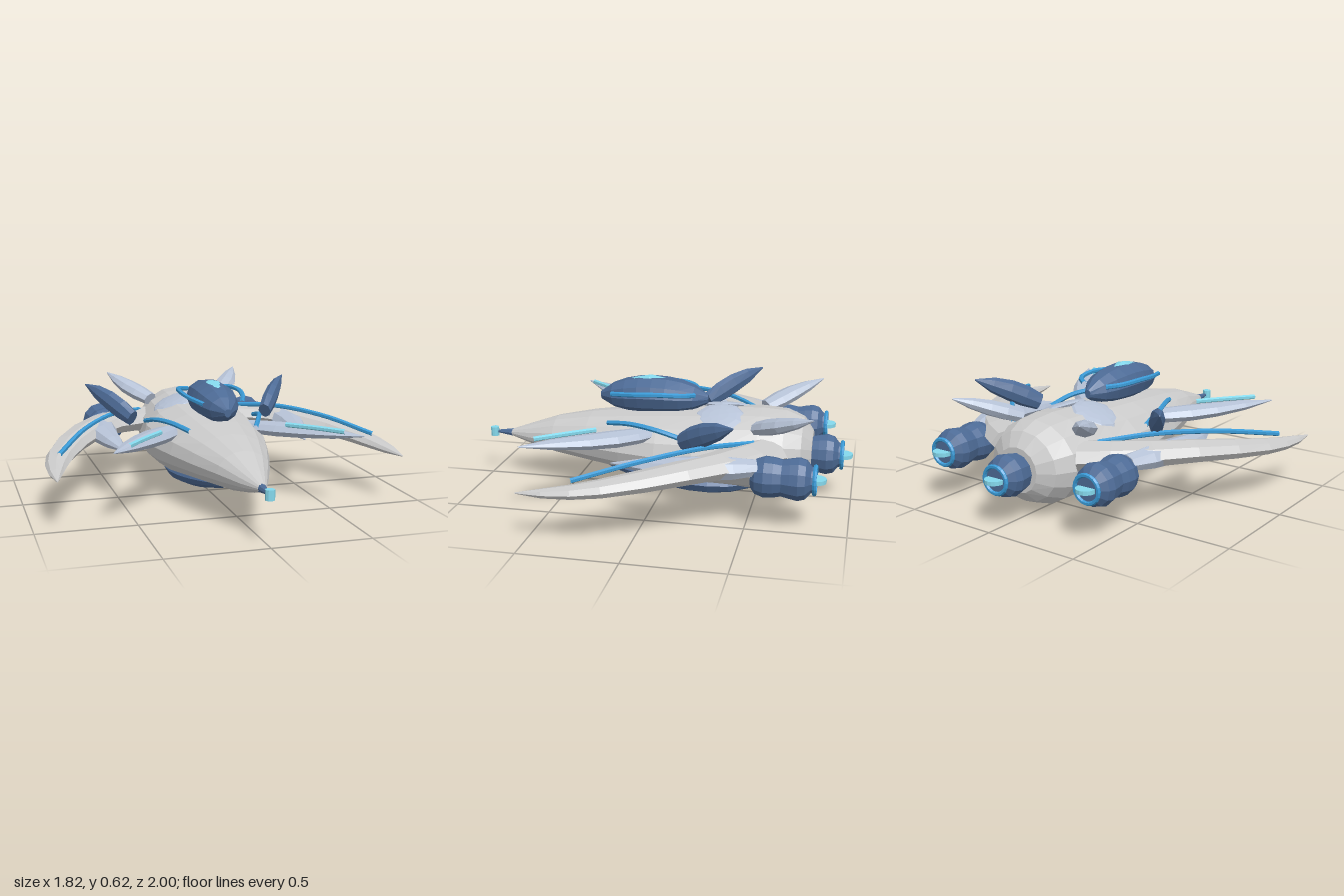
import * as THREE from 'three';

const V = (x, y, z) => new THREE.Vector3(x, y, z);
const mat = (color) => new THREE.MeshStandardMaterial({ color, flatShading: true });
const WHITE = mat(0xf0f0f0), PALE = mat(0xb6c2d6), DARK = mat(0x4d6b96);
const BLUE = mat(0x3a9ad6), CYAN = mat(0x84d8ec);

// Skin a list of rings (each counter-clockwise about the travel direction) and cap both ends.
function skin(rings) {
  const n = rings[0].length, pos = [];
  const tri = (...p) => p.forEach((v) => pos.push(v.x, v.y, v.z));
  for (let i = 0; i < rings.length - 1; i++) {
    for (let j = 0; j < n; j++) {
      const k = (j + 1) % n, a = rings[i], b = rings[i + 1];
      tri(a[j], a[k], b[j]);
      tri(a[k], b[k], b[j]);
    }
  }
  const mid = (r) => r.reduce((s, v) => s.add(v), V(0, 0, 0)).divideScalar(n);
  const first = rings[0], last = rings[rings.length - 1], c0 = mid(first), c1 = mid(last);
  for (let j = 0; j < n; j++) {
    const k = (j + 1) % n;
    tri(c0, first[k], first[j]);
    tri(c1, last[j], last[k]);
  }
  const g = new THREE.BufferGeometry();
  g.setAttribute('position', new THREE.Float32BufferAttribute(pos, 3));
  g.computeVertexNormals();
  return g;
}

// Blade swept along a curve; profile lists [half width, half thickness] at even steps.
function blade(points, profile, sides = 8) {
  const curve = new THREE.CatmullRomCurve3(points), up = V(0, 1, 0);
  return skin(profile.map(([w, h], i) => {
    const t = i / (profile.length - 1), c = curve.getPoint(t), dir = curve.getTangent(t);
    const e1 = up.clone().cross(dir).normalize(), e2 = dir.clone().cross(e1);
    return Array.from({ length: sides }, (_, j) => {
      const a = (j / sides) * Math.PI * 2;
      return c.clone().addScaledVector(e1, w * Math.cos(a)).addScaledVector(e2, h * Math.sin(a));
    });
  }));
}

const pipe = (points, r = 0.013) =>
  new THREE.TubeGeometry(new THREE.CatmullRomCurve3(points), 16, r, 6);

export function createModel() {
  const root = new THREE.Group();
  const add = (name, geometry, material, parent = root) => {
    const m = new THREE.Mesh(geometry, material);
    m.name = name;
    parent.add(m);
    return m;
  };

  // Hull: z, half width, top, bottom, height of the widest line
  const stations = [
    [-0.79, 0.12, 0.36, 0.13, 0.25], [-0.74, 0.2, 0.43, 0.075, 0.25], [-0.65, 0.25, 0.465, 0.037, 0.25],
    [-0.52, 0.275, 0.472, 0.042, 0.255], [-0.36, 0.29, 0.465, 0.052, 0.26], [-0.2, 0.318, 0.455, 0.06, 0.26],
    [0, 0.305, 0.44, 0.075, 0.26], [0.2, 0.265, 0.42, 0.105, 0.26], [0.4, 0.205, 0.395, 0.13, 0.255],
    [0.6, 0.135, 0.355, 0.155, 0.25], [0.76, 0.07, 0.3, 0.19, 0.24], [0.87, 0.022, 0.26, 0.222, 0.24],
  ];
  add('hull', skin(stations.map(([z, w, top, bottom, y]) =>
    Array.from({ length: 16 }, (_, j) => {
      const a = (j / 16) * Math.PI * 2, s = Math.sin(a);
      return V(w * Math.cos(a), y + s * (s > 0 ? top - y : y - bottom), z);
    }))), WHITE);

  // Nose spike and sensor
  const spike = add('noseSpike', new THREE.CylinderGeometry(0.007, 0.024, 0.11, 8), DARK);
  spike.rotation.x = Math.PI / 2;
  spike.position.set(0, 0.24, 0.91);
  add('noseSensor', new THREE.CylinderGeometry(0.023, 0.023, 0.05, 10), CYAN).position.set(0, 0.24, 0.975);

  // Belly keel
  add('belly', blade([V(0, 0.075, -0.58), V(0, 0.08, -0.15), V(0, 0.125, 0.37)],
    [[0.01, 0.01], [0.1, 0.045], [0.16, 0.07], [0.18, 0.08], [0.182, 0.08], [0.168, 0.073],
      [0.14, 0.06], [0.09, 0.04], [0.01, 0.01]], 12), DARK);

  // Cockpit and its window crest
  add('cockpit', blade([V(0, 0.5, -0.232), V(0, 0.513, 0.06), V(0, 0.49, 0.35)],
    [[0.018, 0.024], [0.072, 0.066], [0.1, 0.086], [0.113, 0.094], [0.116, 0.097], [0.114, 0.095],
      [0.102, 0.086], [0.076, 0.066], [0.018, 0.022]], 10), DARK);
  add('cockpitWindow', blade([V(0, 0.575, -0.08), V(0, 0.588, 0.08), V(0, 0.565, 0.24)],
    [[0.004, 0.004], [0.034, 0.019], [0.048, 0.028], [0.036, 0.021], [0.004, 0.004]], 8), CYAN);

  // Engine pod, pointing to the rear, with a ring and a flat glow disc
  const podProfile = [[0, 0], [0.06, 0], [0.088, 0.022], [0.103, 0.065], [0.1, 0.11], [0.091, 0.15],
    [0.1, 0.19], [0.107, 0.23], [0.097, 0.265], [0.066, 0.29], [0.06, 0.305], [0, 0.305]];
  const podShape = new THREE.LatheGeometry(podProfile.map((p) => new THREE.Vector2(...p)), 12);
  podShape.rotateX(-Math.PI / 2);
  const engine = (name, x, y, z) => {
    const g = new THREE.Group();
    g.name = name;
    g.position.set(x, y, z);
    add('pod', podShape, DARK, g);
    add('nozzleRing', new THREE.TorusGeometry(0.067, 0.011, 6, 20), BLUE, g).position.z = -0.308;
    add('glowDisc', new THREE.CylinderGeometry(0.048, 0.048, 0.02, 16), CYAN, g).position.z = -0.315;
    root.add(g);
  };
  engine('centreEngine', 0, 0.24, -0.635);

  for (const [side, s] of [['left', 1], ['right', -1]]) {
    const P = (x, y, z) => V(s * x, y, z);
    const name = (part) => side + part;
    engine(name('Engine'), s * 0.45, 0.26, -0.525);

    // Crescent wing and its light strip
    add(name('Wing'), blade(
      [P(0.2, 0.3, -0.56), P(0.43, 0.315, -0.43), P(0.65, 0.31, -0.18), P(0.805, 0.28, 0.11), P(0.864, 0.26, 0.32), P(0.885, 0.25, 0.53)],
      [[0.14, 0.07], [0.13, 0.066], [0.112, 0.06], [0.097, 0.053], [0.086, 0.047], [0.073, 0.04],
        [0.057, 0.032], [0.035, 0.022], [0.003, 0.003]], 8), WHITE);
    add(name('WingStrip'), pipe([P(0.27, 0.365, -0.51), P(0.47, 0.39, -0.29), P(0.67, 0.37, -0.02), P(0.84, 0.315, 0.27)]), BLUE);

    // Forward fin and its edge light
    add(name('ForwardFin'), blade([P(0.18, 0.35, 0.02), P(0.38, 0.36, 0.25), P(0.63, 0.385, 0.6)],
      [[0.045, 0.03], [0.07, 0.038], [0.079, 0.04], [0.073, 0.036], [0.05, 0.026], [0.003, 0.003]]), PALE);
    add(name('ForwardFinLight'), pipe([P(0.335, 0.4, 0.29), P(0.445, 0.403, 0.42), P(0.55, 0.403, 0.55)]), CYAN);

    // Blade running forward from the side engine
    add(name('PodBlade'), blade([P(0.47, 0.31, -0.55), P(0.54, 0.31, -0.25), P(0.49, 0.285, 0.17)],
      [[0.055, 0.04], [0.08, 0.055], [0.087, 0.058], [0.077, 0.05], [0.05, 0.036], [0.003, 0.003]]), PALE);

    // Upright dark fin
    add(name('UpperFin'), blade([P(0.38, 0.385, -0.17), P(0.475, 0.463, -0.3), P(0.585, 0.535, -0.45)],
      [[0.035, 0.045], [0.04, 0.058], [0.038, 0.057], [0.026, 0.042], [0.003, 0.004]]), DARK);

    // Tail fin
    add(name('TailFin'), blade([P(0.2, 0.42, -0.52), P(0.3, 0.475, -0.65), P(0.395, 0.54, -0.81)],
      [[0.05, 0.035], [0.062, 0.042], [0.058, 0.04], [0.038, 0.028], [0.003, 0.003]]), PALE);

    // Nearly flush panel on the back
    const panel = add(name('BackPanel'), new THREE.SphereGeometry(1, 10, 8), PALE);
    panel.scale.set(0.125, 0.024, 0.135);
    panel.position.set(s * 0.11, 0.433, -0.31);
    panel.rotation.set(0.05, 0, -s * 0.38);

    // Pipes beside the cockpit and along the shoulder
    add(name('CockpitPipe'), pipe([P(0.07, 0.535, -0.17), P(0.13, 0.545, -0.12), P(0.158, 0.55, 0.02), P(0.145, 0.54, 0.14), P(0.1, 0.525, 0.27)]), BLUE);
    add(name('ShoulderPipe'), pipe([P(0.31, 0.37, -0.16), P(0.285, 0.405, 0), P(0.235, 0.41, 0.14), P(0.175, 0.39, 0.27)]), BLUE);
  }
  return root;
}
